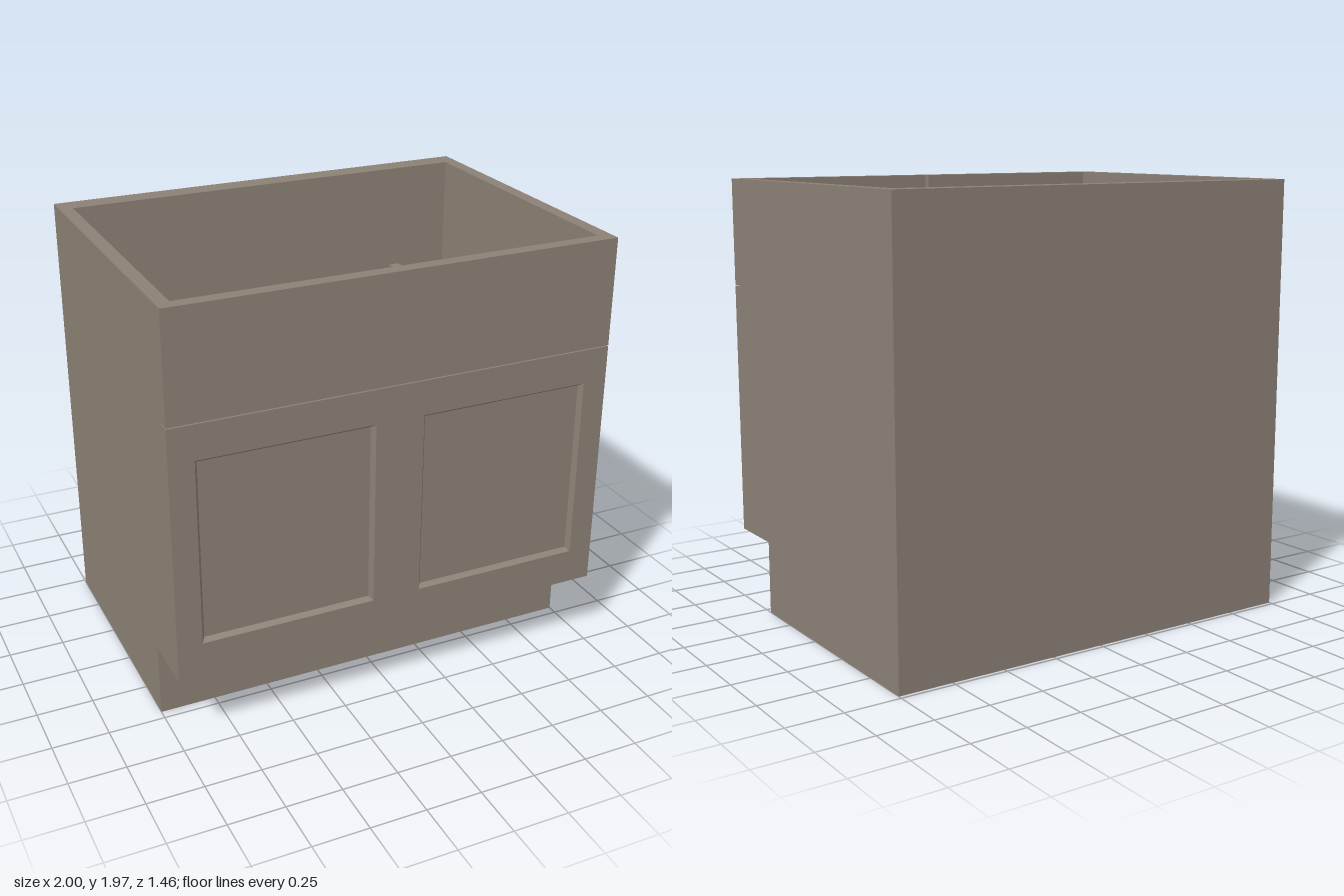
import * as THREE from 'three';

const material = new THREE.MeshStandardMaterial({ color: 0x8b8075, flatShading: true, side: THREE.DoubleSide });

const BACK = -0.73, FRONT = 0.73, INNER = 0.67; // z planes of the carcass and front slabs
const TOP = 1.97, KICK = 0.335, KICK_Z = 0.455;
const IN_X = 0.94, SEAM = 1.485, GAP = 0.005;

// Door panel recess: x from, x to, y from, y to
const WINDOWS = [[-0.89, -0.11, 0.495, 1.33], [0.11, 0.89, 0.495, 1.33]];

function add(group, name, geometry) {
  const mesh = new THREE.Mesh(geometry, material);
  mesh.name = name;
  group.add(mesh);
  return mesh;
}

// Box given by its limits on each axis
function block(group, name, [x0, x1], [y0, y1], [z0, z1]) {
  const mesh = add(group, name, new THREE.BoxGeometry(x1 - x0, y1 - y0, z1 - z0));
  mesh.position.set((x0 + x1) / 2, (y0 + y1) / 2, (z0 + z1) / 2);
}

function rectangle(path, x0, x1, y0, y1) {
  path.moveTo(x0, y0);
  path.lineTo(x1, y0);
  path.lineTo(x1, y1);
  path.lineTo(x0, y1);
  path.closePath();
  return path;
}

// Sloped rectangular tray: a rim at zRim narrowing to a flat panel at zPanel
function tray([x0, x1, y0, y1], inset, zRim, zPanel) {
  const ring = (d, z) => [
    [x0 + d, y0 + d, z], [x1 - d, y0 + d, z], [x1 - d, y1 - d, z], [x0 + d, y1 - d, z],
  ];
  const rim = ring(0, zRim), panel = ring(inset, zPanel);
  const points = [];
  const quad = (a, b, c, d) => {
    const corners = zRim > zPanel ? [a, b, c, a, c, d] : [a, c, b, a, d, c];
    corners.forEach((p) => points.push(...p));
  };
  for (let i = 0; i < 4; i++) {
    const j = (i + 1) % 4;
    quad(rim[i], rim[j], panel[j], panel[i]);
  }
  quad(...panel);
  const geometry = new THREE.BufferGeometry();
  geometry.setAttribute('position', new THREE.Float32BufferAttribute(points, 3));
  geometry.computeVertexNormals();
  return geometry;
}

export function createModel() {
  const cabinet = new THREE.Group();
  cabinet.name = 'baseCabinet';

  // Side walls with the toe notch, drawn in (-z, y) and turned to face x
  const profile = new THREE.Shape();
  [[-BACK, 0], [-BACK, TOP], [-INNER, TOP], [-INNER, KICK], [-KICK_Z, KICK], [-KICK_Z, 0]]
    .forEach(([x, y], i) => (i ? profile.lineTo(x, y) : profile.moveTo(x, y)));
  const sideGeometry = new THREE.ExtrudeGeometry(profile, { depth: 1 - IN_X, bevelEnabled: false });
  sideGeometry.rotateY(Math.PI / 2);
  add(cabinet, 'leftSide', sideGeometry).position.x = IN_X;
  add(cabinet, 'rightSide', sideGeometry).position.x = -1;

  // Back wall, plinth and floor
  block(cabinet, 'backWall', [-IN_X, IN_X], [0, TOP], [BACK, -0.63]);
  block(cabinet, 'plinth', [-IN_X, IN_X], [0, KICK], [-0.63, KICK_Z]);
  block(cabinet, 'floor', [-IN_X, IN_X], [KICK, 0.39], [-0.63, INNER]);

  // Drawer front above the thin seam
  block(cabinet, 'drawerFront', [-1, 1], [SEAM + GAP, TOP], [INNER, FRONT]);

  // Door front: one slab with two openings
  const slab = rectangle(new THREE.Shape(), -1, 1, KICK, SEAM);
  WINDOWS.forEach((w) => slab.holes.push(rectangle(new THREE.Path(), ...w)));
  const slabGeometry = new THREE.ExtrudeGeometry(slab, { depth: FRONT - INNER, bevelEnabled: false });
  add(cabinet, 'doorFront', slabGeometry).position.z = INNER;

  // Recessed panels with sloped edges, outside and inside
  WINDOWS.forEach((w) => {
    const side = w[0] > 0 ? 'left' : 'right';
    add(cabinet, side + 'DoorPanel', tray(w, 0.015, FRONT, 0.708));
    add(cabinet, side + 'DoorPanelInside', tray(w, 0.015, INNER, 0.692));
  });

  // Inner rail and short centre post behind the drawer front
  block(cabinet, 'innerRail', [-IN_X, IN_X], [1.67, 1.72], [0.64, INNER]);
  block(cabinet, 'centrePost', [-0.02, 0.02], [1.72, TOP], [0.64, INNER]);

  return cabinet;
}
